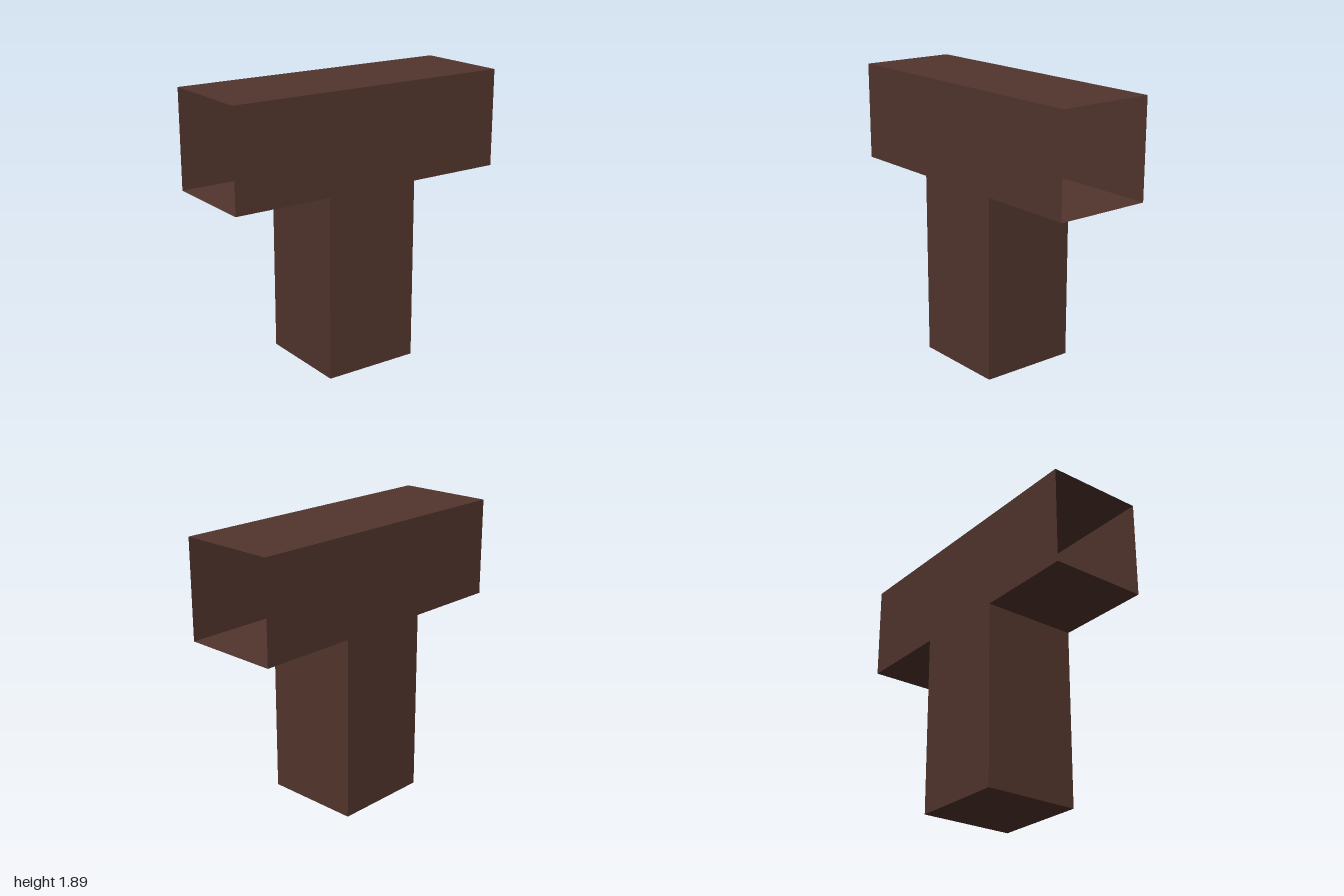
import * as THREE from 'three';

const HALF = 0.333;   // half width of duct and stem
const FLOOR = 1.23;   // underside of the duct
const TOP = 1.89;

export function createModel() {
  const group = new THREE.Group();
  const brown = new THREE.MeshStandardMaterial({ color: 0x52352d, side: THREE.DoubleSide });
  brown.name = 'dark brown';

  const add = (name, geometry, x, y, z) => {
    const mesh = new THREE.Mesh(geometry, brown);
    mesh.name = name;
    mesh.position.set(x, y, z);
    group.add(mesh);
  };
  // Horizontal sheet, facing up or down
  const sheet = (name, geometry, y, facing) =>
    add(name, geometry.rotateX(-facing * Math.PI / 2), 0, y, 0);

  // T-shaped side walls shared by the duct and the stem
  const tee = new THREE.Shape([
    [-HALF, 0], [HALF, 0], [HALF, FLOOR], [1, FLOOR],
    [1, TOP], [-1, TOP], [-1, FLOOR], [-HALF, FLOOR],
  ].map(([z, y]) => new THREE.Vector2(z, y)));
  for (const side of [1, -1]) {
    add(side > 0 ? 'leftWall' : 'rightWall',
      new THREE.ShapeGeometry(tee).rotateY(side * Math.PI / 2), side * HALF, 0, 0);
  }

  // Duct roof, open at both ends
  sheet('ductRoof', new THREE.PlaneGeometry(2 * HALF, 2), TOP, 1);

  // Duct floor with an opening down into the stem
  const floor = new THREE.Shape([[-HALF, -1], [HALF, -1], [HALF, 1], [-HALF, 1]]
    .map(([x, z]) => new THREE.Vector2(x, z)));
  floor.holes.push(new THREE.Path([[-0.2, -HALF], [-0.2, HALF], [0.2, HALF], [0.2, -HALF]]
    .map(([x, z]) => new THREE.Vector2(x, z))));
  sheet('ductFloor', new THREE.ShapeGeometry(floor), FLOOR, 1);

  // Stem front, back and closed base
  for (const side of [1, -1]) {
    add(side > 0 ? 'stemFront' : 'stemBack',
      new THREE.PlaneGeometry(2 * HALF, FLOOR).rotateY(side > 0 ? 0 : Math.PI),
      0, FLOOR / 2, side * HALF);
  }
  sheet('stemBase', new THREE.PlaneGeometry(2 * HALF, 2 * HALF), 0, -1);

  return group;
}
